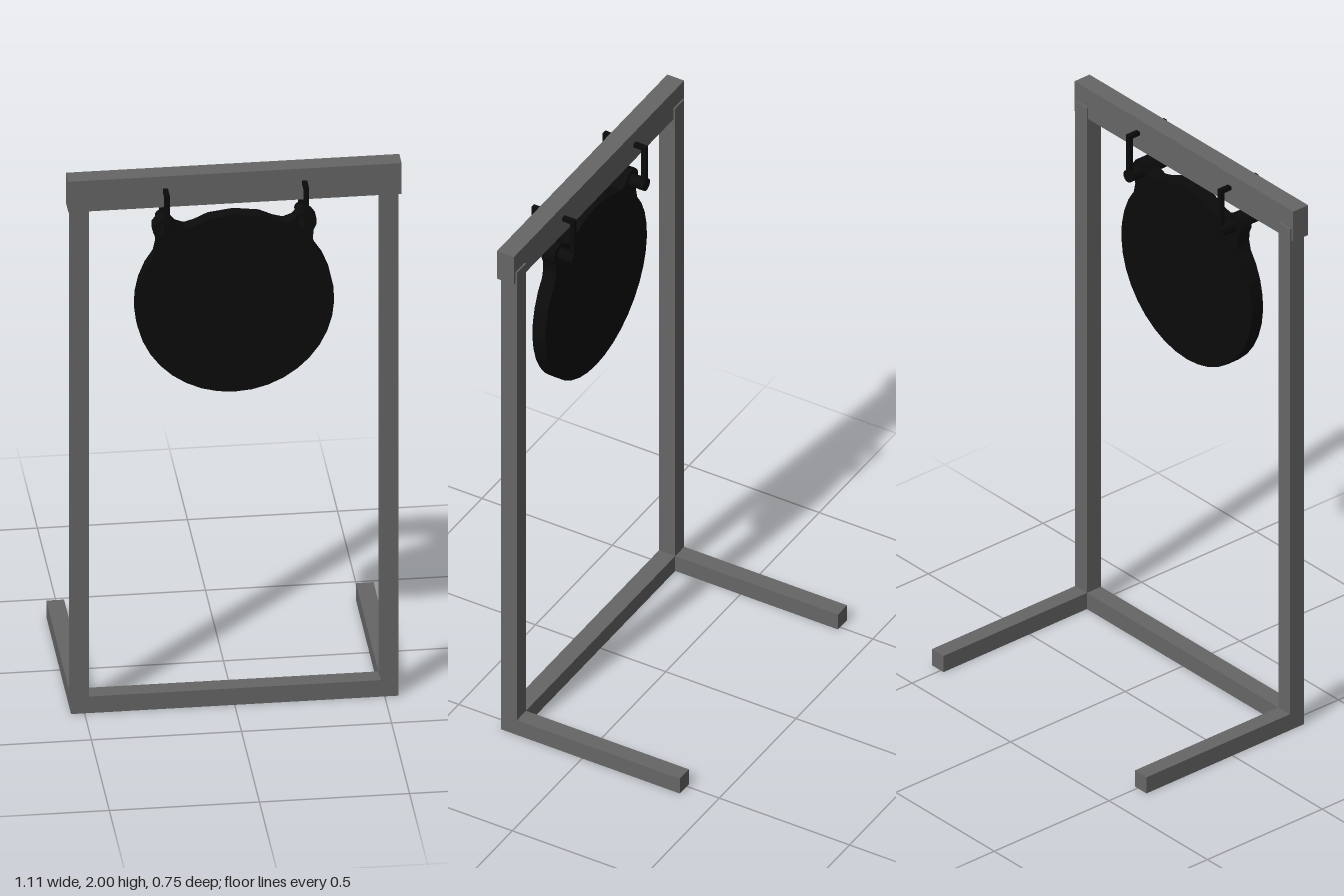
import * as THREE from 'three';

export function createModel() {
  const group = new THREE.Group();
  const frameGrey = new THREE.MeshStandardMaterial({ color: 0x666666 });
  const targetBlack = new THREE.MeshStandardMaterial({ color: 0x0b0b0b });
  frameGrey.name = 'frameGrey';
  targetBlack.name = 'targetBlack';

  // Box given by its minimum and maximum corners
  function box(name, material, [x0, y0, z0], [x1, y1, z1]) {
    const geo = new THREE.BoxGeometry(x1 - x0, y1 - y0, z1 - z0);
    const mesh = new THREE.Mesh(geo, material);
    mesh.position.set((x0 + x1) / 2, (y0 + y1) / 2, (z0 + z1) / 2);
    mesh.name = name;
    group.add(mesh);
  }

  // Frame: top beam and bottom rail
  box('topBeam', frameGrey, [-0.555, 1.885, 0.256], [0.555, 2, 0.321]);
  box('bottomRail', frameGrey, [-0.486, 0, 0.25], [0.486, 0.062, 0.312]);

  for (const [side, s] of [['left', 1], ['right', -1]]) {
    // Upright post and rear foot
    const xa = Math.min(s * 0.486, s * 0.545), xb = Math.max(s * 0.486, s * 0.545);
    box(side + 'Post', frameGrey, [xa, 0, 0.25], [xb, 1.93, 0.312]);
    box(side + 'Foot', frameGrey, [xa, 0, -0.375], [xb, 0.062, 0.25]);

    // Hanger: top bar through the beam, two straps and a round pin
    const x = s * 0.232, h = 0.0085;
    box(side + 'HangerBar', targetBlack, [x - h, 1.941, 0.21], [x + h, 1.955, 0.374]);
    box(side + 'HangerFrontStrap', targetBlack, [x - h, 1.797, 0.358], [x + h, 1.941, 0.374]);
    box(side + 'HangerBackStrap', targetBlack, [x - h, 1.797, 0.21], [x + h, 1.941, 0.226]);
    const pin = new THREE.Mesh(new THREE.CylinderGeometry(0.022, 0.022, 0.164, 16), targetBlack);
    pin.rotation.x = Math.PI / 2;
    pin.position.set(x, 1.797, 0.292);
    pin.name = side + 'HangerPin';
    group.add(pin);
  }

  // Target plate: round disc with two ears, mirrored about x = 0
  const cy = 1.508, r = 0.331;
  const half = [
    [0.085, 1.828], [0.13, 1.807], [0.165, 1.797], [0.195, 1.808], [0.212, 1.828],
    [0.235, 1.836], [0.258, 1.828], [0.272, 1.808], [0.272, 1.788], [0.262, 1.765],
    [0.26, 1.735], [0.268, 1.7],
  ];
  const start = 0.47, steps = 12;
  for (let i = 0; i < steps; i++) {
    const a = start - (i / steps) * (start + Math.PI / 2);
    half.push([r * Math.cos(a), cy + r * Math.sin(a)]);
  }
  const mirrored = half.map(([x, y]) => [-x, y]).reverse();
  const outline = [[0, cy + r], ...half, [0, cy - r], ...mirrored];
  const shape = new THREE.Shape(outline.map(([x, y]) => new THREE.Vector2(x, y)));
  const plate = new THREE.Mesh(
    new THREE.ExtrudeGeometry(shape, { depth: 0.05, bevelEnabled: false }), targetBlack);
  plate.position.z = 0.267;
  plate.name = 'targetPlate';
  group.add(plate);

  return group;
}
